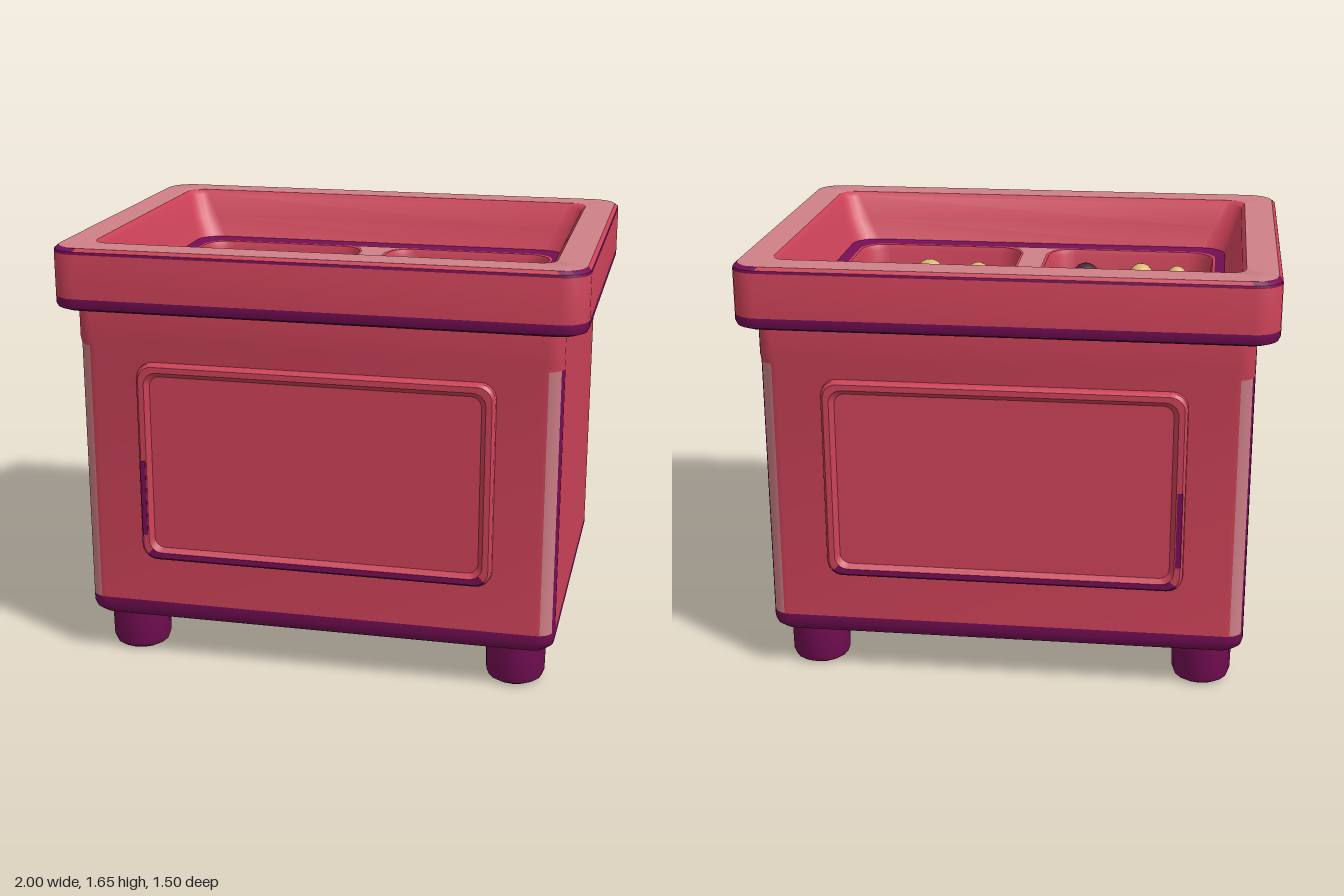
import * as THREE from 'three';
import { toCreasedNormals, mergeGeometries } from 'three/addons/utils/BufferGeometryUtils.js';

const flat = (name, color) => {
  const m = new THREE.MeshStandardMaterial({ color });
  m.name = name;
  return m;
};

// rounded rectangle outline as [x, z] points
function outline(hx, hz, r, seg = 6) {
  const pts = [];
  [[1, 1], [-1, 1], [-1, -1], [1, -1]].forEach(([sx, sz], q) => {
    for (let i = 0; i <= seg; i++) {
      const a = (q + i / seg) * Math.PI / 2;
      pts.push(new THREE.Vector2(sx * (hx - r) + r * Math.cos(a), sz * (hz - r) + r * Math.sin(a)));
    }
  });
  return pts;
}

// skin rings [halfX, halfZ, radius, y, material index or rule(x, z)] from first to last
function loft(profile) {
  const pos = [], geo = new THREE.BufferGeometry();
  const rings = profile.map(([hx, hz, r, y]) => outline(hx, hz, r).map(p => [p.x, y, p.y]));
  for (let i = 0; i < rings.length - 1; i++) {
    const n = rings[i].length, mat = profile[i][4];
    for (let j = 0; j < n; j++) {
      const k = (j + 1) % n;
      const a = rings[i][j], b = rings[i][k], c = rings[i + 1][k], d = rings[i + 1][j];
      const m = typeof mat === 'function' ? mat((a[0] + b[0]) / 2, (a[2] + b[2]) / 2) : mat;
      geo.addGroup(pos.length / 3, 6, m);
      pos.push(...a, ...d, ...c, ...a, ...c, ...b);
    }
  }
  geo.setAttribute('position', new THREE.Float32BufferAttribute(pos, 3));
  return toCreasedNormals(geo, 0.6);
}

export function createModel() {
  const root = new THREE.Group();
  root.name = 'servingBin';
  const red = flat('red', 0xcc4258), pale = flat('palePink', 0xcf8088), purple = flat('purple', 0x750e54);
  const cream = flat('cream', 0xdcb872), dark = flat('darkBrown', 0x4c2433);
  const paint = [red, pale, purple], RED = 0, PALE = 1, PURPLE = 2;
  const add = (name, geo, mat, parent = root) => {
    const m = new THREE.Mesh(geo, mat);
    m.name = name;
    parent.add(m);
    return m;
  };

  // body, with pale and purple strips on the rounded corners
  const cornerStrip = (x, z) => {
    const dx = Math.abs(x) - 0.848, dz = Math.abs(z) - 0.622;
    if (dx < 0.001 || dz < 0.001) return RED;
    const a = Math.atan2(dz, dx) * 180 / Math.PI;
    return a < 30 ? PURPLE : a < 75 ? PALE : RED;
  };
  add('body', loft([
    [0, 0, 0, 0.16, RED], [0.87, 0.64, 0.05, 0.16, RED],
    [0.89, 0.66, 0.06, 0.17, PURPLE], [0.912, 0.682, 0.07, 0.19, PURPLE],
    [0.918, 0.692, 0.07, 0.215, PURPLE], [0.918, 0.692, 0.07, 0.245, cornerStrip],
    [0.918, 0.692, 0.07, 1.27, RED], [0.918, 0.698, 0.06, 1.3, RED], [0.918, 0.698, 0.06, 1.42, RED],
  ]), paint);

  // lid rim and sloping inner walls
  const rimCorner = (x, z) => (Math.abs(x) > 0.89 && Math.abs(z) > 0.64 ? PURPLE : RED);
  add('lidRim', loft([
    [0.88, 0.66, 0.06, 1.41, PURPLE], [0.97, 0.72, 0.08, 1.41, PURPLE],
    [0.992, 0.742, 0.09, 1.42, PURPLE], [1, 0.75, 0.1, 1.435, PURPLE],
    [1, 0.75, 0.1, 1.46, RED], [1, 0.75, 0.1, 1.628, PURPLE],
    [0.998, 0.748, 0.1, 1.638, rimCorner], [0.985, 0.735, 0.1, 1.65, PALE],
    [0.87, 0.615, 0.06, 1.65, RED], [0.855, 0.6, 0.07, 1.635, RED],
    [0.83, 0.57, 0.09, 1.54, RED], [0.795, 0.535, 0.1, 1.46, PURPLE],
    [0.755, 0.495, 0.1, 1.45, PURPLE],
  ]), paint);

  // tray floor with two openings
  const floor = new THREE.Shape(outline(0.755, 0.495, 0.1));
  for (const s of [-1, 1]) {
    floor.holes.push(new THREE.Path(outline(0.3425, 0.48, 0.1).map(p => new THREE.Vector2(p.x + s * 0.4025, p.y))));
    const well = add(s > 0 ? 'leftWell' : 'rightWell', loft([
      [0.3425, 0.48, 0.1, 1.45, RED], [0.336, 0.473, 0.1, 1.43, RED],
      [0.325, 0.46, 0.09, 1.25, RED], [0, 0, 0, 1.25, RED],
    ]), paint);
    well.position.x = s * 0.4025;
  }
  add('trayFloor', new THREE.ShapeGeometry(floor).rotateX(-Math.PI / 2).translate(0, 1.45, 0), red);

  // pale divider with flared ends
  const side = [[0.05, -0.38], [0.075, -0.455], [0.11, -0.485]];
  const right = [...side].reverse().concat(side.map(([x, y]) => [x, -y]));
  const strip = right.concat([...right].reverse().map(([x, y]) => [-x, y]));
  add('divider', new THREE.ShapeGeometry(new THREE.Shape(strip.map(p => new THREE.Vector2(...p))))
    .rotateX(-Math.PI / 2).translate(0, 1.453, 0), pale);

  // raised panels on front and back, purple along the lower edge
  const lowEdge = (x, z) => (z > 0.37 ? PURPLE : RED);
  const panelGeo = loft([
    [0.682, 0.395, 0.06, 0.685, lowEdge], [0.68, 0.393, 0.06, 0.71, lowEdge],
    [0.67, 0.383, 0.055, 0.723, lowEdge], [0.648, 0.361, 0.05, 0.723, RED],
    [0.63, 0.343, 0.04, 0.706, RED], [0, 0, 0, 0.706, RED],
  ]).rotateX(Math.PI / 2);
  for (const s of [1, -1]) {
    const g = new THREE.Group();
    g.name = s > 0 ? 'frontPanel' : 'backPanel';
    g.rotation.y = s > 0 ? 0 : Math.PI;
    g.position.y = 0.825;
    add('panel', panelGeo, paint, g);
    add('panelAccent', new THREE.BoxGeometry(0.02, 0.3, 0.006).translate(-s * 0.662, -0.14, 0.722), purple, g);
    root.add(g);
  }

  // feet
  const footGeo = toCreasedNormals(new THREE.LatheGeometry(
    [[0, 0], [0.085, 0], [0.105, 0.012], [0.114, 0.035], [0.117, 0.2]].map(p => new THREE.Vector2(...p)), 16), 0.6);
  for (const x of [-0.76, 0.76]) for (const z of [-0.527, 0.527]) {
    add('foot', footGeo, purple).position.set(x, 0, z);
  }

  // lumpy fillings: a bumpy mound with a few round pieces on top
  let seed = 7;
  const rnd = () => (seed = (seed * 16807) % 2147483647) / 2147483647;
  function filling(name, mat, x0, x1, z0, z1, balls) {
    const w = x1 - x0, d = z1 - z0, cx = (x0 + x1) / 2, cz = (z0 + z1) / 2;
    const bumps = Array.from({ length: Math.round(w * d * 130) }, () =>
      [(rnd() - 0.5) * w, (rnd() - 0.5) * d, 0.04 + 0.035 * rnd()]);
    const geo = new THREE.PlaneGeometry(w, d, Math.round(w * 85), 76).rotateX(-Math.PI / 2);
    const p = geo.attributes.position;
    for (let i = 0; i < p.count; i++) {
      const x = p.getX(i), z = p.getZ(i), u = Math.abs(2 * x / w), v = Math.abs(2 * z / d);
      let h = 0;
      for (const [bx, bz, r] of bumps) h = Math.max(h, r * r - (x - bx) ** 2 - (z - bz) ** 2);
      const fall = Math.pow(Math.max(0, (1 - u ** 8) * (1 - v ** 10)), 0.4);
      p.setXYZ(i, cx + x + 0.012 * Math.sin(z * 27 + cx * 9) * u ** 4,
        1.25 + fall * (0.09 + 0.85 * Math.sqrt(h)), cz + z + 0.012 * Math.sin(x * 30) * v ** 4);
    }
    geo.computeVertexNormals();
    const parts = balls.map(([x, z, r]) => new THREE.SphereGeometry(r, 14, 10).translate(x, 1.43 - r, z));
    add(name, mergeGeometries([geo, ...parts]), mat);
  }
  filling('creamFillingLeft', cream, 0.08, 0.69, -0.46, 0.45, [[0.24, -0.34, 0.045], [0.6, -0.31, 0.04],
    [0.41, -0.15, 0.05], [0.22, 0.02, 0.06], [0.44, 0, 0.05], [0.23, 0.29, 0.05], [0.44, 0.32, 0.06]]);
  filling('creamFillingRight', cream, -0.71, -0.35, -0.44, 0.45, [[-0.55, -0.31, 0.04], [-0.41, -0.14, 0.045],
    [-0.44, -0.02, 0.05], [-0.58, 0.16, 0.04], [-0.4, 0.18, 0.04], [-0.6, 0.32, 0.04], [-0.45, 0.35, 0.05],
    [-0.39, -0.31, 0.045]]);
  filling('darkFilling', dark, -0.395, -0.12, -0.44, 0.44, [[-0.23, 0.05, 0.05], [-0.2, -0.17, 0.04],
    [-0.27, -0.37, 0.07], [-0.22, -0.28, 0.05], [-0.3, 0.2, 0.05], [-0.22, 0.33, 0.06], [-0.32, -0.08, 0.05]]);
  return root;
}
